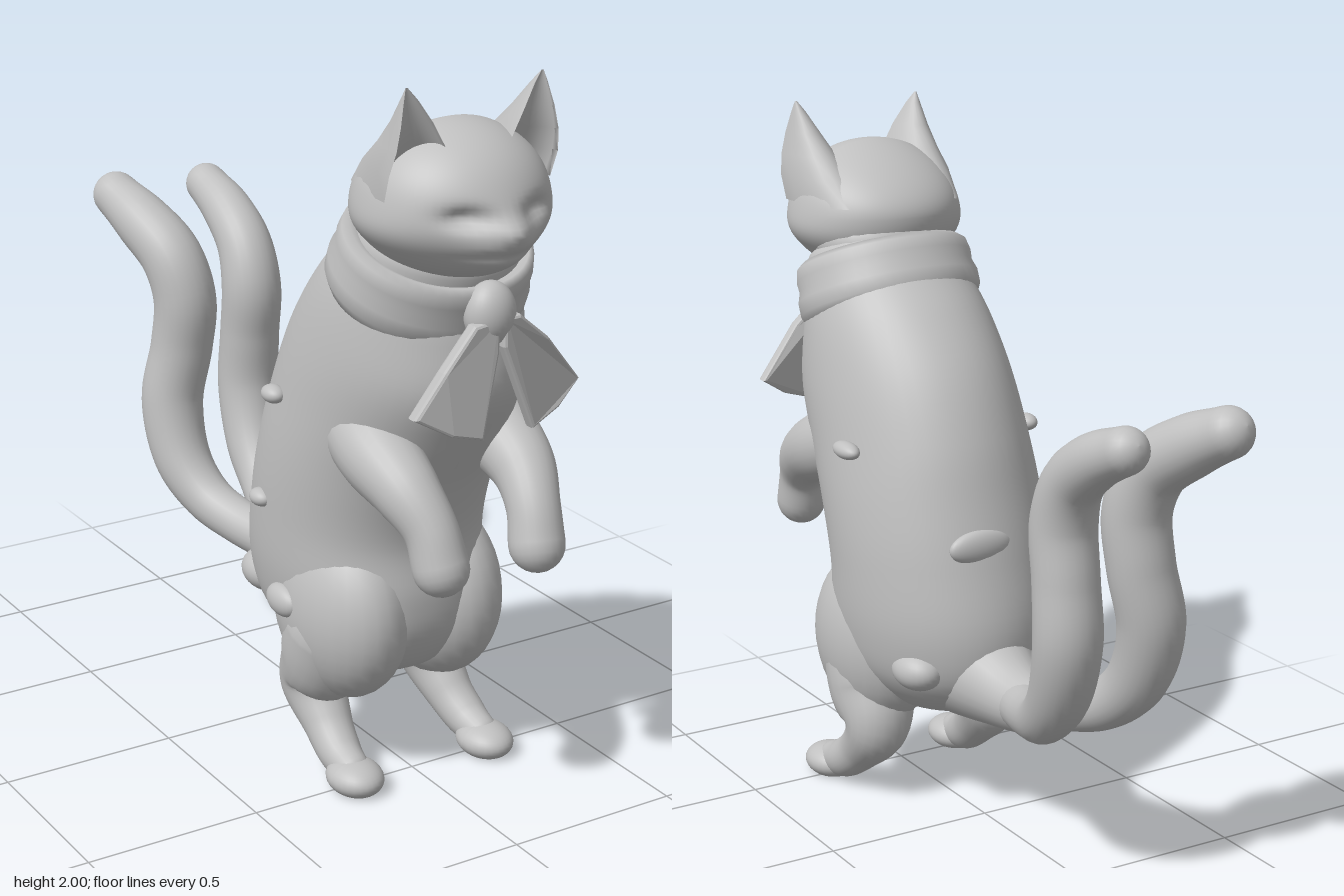
import * as THREE from 'three';
import { mergeVertices } from 'three/addons/utils/BufferGeometryUtils.js';

const V = (x, y, z) => new THREE.Vector3(x, y, z);
const clay = new THREE.MeshStandardMaterial({ color: 0xc0c0c0, side: THREE.DoubleSide });
clay.name = 'grey clay';

// Smooth closed surface through a list of rings of equal length
function skin(rings) {
  const n = rings[0].length, index = [];
  for (let i = 0; i < rings.length - 1; i++) {
    for (let j = 0; j < n; j++) {
      const a = i * n + j, b = i * n + (j + 1) % n;
      index.push(a, b, a + n, b, b + n, a + n);
    }
  }
  const g = new THREE.BufferGeometry().setFromPoints(rings.flat());
  g.setIndex(index);
  g.computeVertexNormals();
  return g;
}

// Tapering round limb through [x, y, z, radius] points, with domed ends
function limb(points, steps = 40, sides = 24) {
  const curve = new THREE.CatmullRomCurve3(points.map(p => V(p[0], p[1], p[2])));
  const radii = new THREE.SplineCurve(points.map((p, i) => new THREE.Vector2(i, p[3])));
  const frames = curve.computeFrenetFrames(steps);
  const rings = [];
  const add = (i, shift, scale) => {
    const t = curve.getUtoTmapping(i / steps);
    const r = radii.getPoint(t).y;
    const c = curve.getPoint(t).addScaledVector(frames.tangents[i], shift * r);
    rings.push(Array.from({ length: sides }, (_, j) => {
      const a = j / sides * Math.PI * 2;
      return c.clone().addScaledVector(frames.normals[i], Math.cos(a) * r * scale)
        .addScaledVector(frames.binormals[i], Math.sin(a) * r * scale);
    }));
  };
  for (let k = 6; k > 0; k--) add(0, -Math.sin(k * Math.PI / 12), Math.cos(k * Math.PI / 12));
  for (let i = 0; i <= steps; i++) add(i, 0, 1);
  for (let k = 1; k <= 6; k++) add(steps, Math.sin(k * Math.PI / 12), Math.cos(k * Math.PI / 12));
  return skin(rings);
}

function ball(x, y, z, rx, ry, rz) {
  return new THREE.SphereGeometry(1, 28, 20).scale(rx, ry, rz).translate(x, y, z);
}

// Paw with a flat sole
function foot(x) {
  const g = ball(x, 0.036, 0.52, 0.076, 0.05, 0.092);
  const p = g.attributes.position;
  for (let i = 0; i < p.count; i++) p.setY(i, Math.max(0, p.getY(i)));
  g.computeVertexNormals();
  return g;
}

// Leaning torso: front z, front y, back z, back y, half width
function torso() {
  const rows = [
    [0.40, 0.29, 0.22, 0.29, 0.01], [0.50, 0.31, 0.05, 0.31, 0.16],
    [0.58, 0.43, -0.09, 0.42, 0.265], [0.595, 0.55, -0.12, 0.57, 0.3],
    [0.585, 0.70, -0.08, 0.78, 0.31], [0.64, 0.87, -0.035, 0.95, 0.31],
    [0.73, 1.03, 0.015, 1.12, 0.30], [0.80, 1.18, 0.10, 1.30, 0.287],
    [0.79, 1.32, 0.22, 1.45, 0.265], [0.77, 1.43, 0.34, 1.56, 0.235],
    [0.78, 1.52, 0.43, 1.65, 0.21], [0.65, 1.62, 0.58, 1.66, 0.02]];
  const front = new THREE.CatmullRomCurve3(rows.map(r => V(r[4], r[1], r[0])));
  const back = new THREE.CatmullRomCurve3(rows.map(r => V(r[4], r[3], r[2])));
  const rings = [];
  for (let i = 0; i <= 66; i++) {
    const f = front.getPoint(i / 66), b = back.getPoint(i / 66);
    // The belly is squarer in front than the chest
    const square = 0.72 + 0.28 * Math.min(1, i / 45);
    rings.push(Array.from({ length: 48 }, (_, j) => {
      const a = j / 48 * Math.PI * 2, s = (1 + Math.sin(a)) / 2, c = Math.cos(a);
      const w = Math.sign(c) * Math.abs(c) ** (s < 0.5 ? square : 1);
      return V(w * f.x, f.y + (b.y - f.y) * s, f.z + (b.z - f.z) * s);
    }));
  }
  return skin(rings);
}

// Skull with muzzle, nose, cheeks and closed-eye hollows pushed into a sphere
function skull() {
  let g = new THREE.SphereGeometry(1, 72, 54);
  g.deleteAttribute('uv');
  g.deleteAttribute('normal');
  g = mergeVertices(g.scale(0.25, 0.2, 0.25));
  const p = g.attributes.position;
  const bump = (x, y, cx, cy, sx, sy) => Math.exp(-(((x - cx) / sx) ** 2) - ((y - cy) / sy) ** 2);
  for (let i = 0; i < p.count; i++) {
    const x = p.getX(i), y = p.getY(i), z = p.getZ(i), ax = Math.abs(x);
    if (z > 0) {
      const w = Math.min(1, z / 0.12);
      p.setZ(i, z + w * (0.055 * bump(x, y, 0, -0.1, 0.1, 0.1)
        + 0.022 * bump(x, y, 0, -0.035, 0.04, 0.03)
        - 0.035 * bump(ax, y, 0.1, 0.0, 0.05, 0.025)
        - 0.015 * bump(x, y, 0, -0.1, 0.09, 0.014)));
    } else if (y > 0) {
      // Crown slopes down to the nape
      p.setY(i, y * (1 + z * 1.3));
    }
    p.setX(i, x * (1 + 0.06 * bump(0, y, 0, -0.06, 1, 0.06)));
  }
  g.computeVertexNormals();
  return g.translate(0, 1.69, 0.67);
}

// Pointed ear with a hollow front
function ear(s) {
  const rows = [[0.158, 1.72, 0.75, 0.09, 0.26], [0.163, 1.79, 0.775, 0.088, 0.22],
    [0.17, 1.85, 0.79, 0.07, 0.16], [0.18, 1.91, 0.788, 0.047, 0.095],
    [0.192, 1.97, 0.777, 0.02, 0.035], [0.2, 2.0, 0.77, 0.003, 0.003]];
  return skin(rows.map(([x, y, z, rx, rz]) => Array.from({ length: 24 }, (_, j) => {
    const a = j / 24 * Math.PI * 2, d = Math.sin(a);
    return V(s * x + Math.cos(a) * rx, y, z - rz * (d > 0 ? d : -d * 0.35));
  })));
}

// Hanging ribbon end, curving back towards the sides
function ribbon(corners) {
  const g = new THREE.ExtrudeGeometry(new THREE.Shape(corners.map(c => new THREE.Vector2(...c))),
    { depth: 0.02, bevelSize: 0.008, bevelThickness: 0.01, bevelSegments: 2 });
  const p = g.attributes.position;
  for (let i = 0; i < p.count; i++) p.setZ(i, p.getZ(i) + 0.83 - 0.7 * p.getX(i) ** 2);
  g.computeVertexNormals();
  return g;
}

export function createModel() {
  const cat = new THREE.Group();
  cat.name = 'standing cat';
  const add = (name, geometry, parent = cat) => {
    const m = new THREE.Mesh(geometry, clay);
    m.name = name;
    parent.add(m);
    return m;
  };

  add('torso', torso());

  // Head, shifted slightly to its right
  const head = new THREE.Group();
  head.name = 'head';
  head.position.x = -0.022;
  cat.add(head);
  add('skull', skull(), head);
  add('nape', ball(0.01, 1.61, 0.6, 0.215, 0.12, 0.19), head);

  for (const s of [1, -1]) {
    const side = s > 0 ? 'left' : 'right';
    add(side + 'Ear', ear(s), head);
    add(side + 'Arm', limb([[s * 0.14, 1.06, 0.44, 0.12], [s * 0.18, 1.005, 0.59, 0.11],
      [s * 0.18, 0.94, 0.73, 0.088], [s * 0.16, 0.86, 0.81, 0.072], [s * 0.15, 0.765, 0.845, 0.075]]));
    // Rounded thigh, bent shank and foot, standing a little to the left
    add(side + 'Thigh', ball(s * 0.15 + 0.005, 0.475, 0.36, 0.162, 0.26, 0.245));
    add(side + 'Leg', limb([[s * 0.17, 0.42, 0.37, 0.14], [s * 0.18 + 0.005, 0.32, 0.33, 0.13],
      [s * 0.192 + 0.01, 0.225, 0.28, 0.098], [s * 0.2 + 0.012, 0.13, 0.355, 0.07],
      [s * 0.21 + 0.015, 0.07, 0.435, 0.06], [s * 0.213 + 0.015, 0.05, 0.5, 0.05]]));
    add(side + 'Foot', foot(s * 0.215 + 0.015));
    add(side + 'HipFold', ball(s * 0.195, 0.475, 0.045, 0.07, 0.06, 0.09));
  }

  // Tail: shared root splitting into two
  add('tailRoot', limb([[0, 0.46, 0.08, 0.17], [0, 0.44, -0.06, 0.135],
    [0, 0.425, -0.18, 0.1], [0, 0.425, -0.3, 0.078]]));
  add('leftTail', limb([[0.02, 0.425, -0.24, 0.07], [0.06, 0.445, -0.36, 0.068],
    [0.1, 0.49, -0.48, 0.073], [0.12, 0.59, -0.58, 0.085], [0.137, 0.76, -0.645, 0.093],
    [0.138, 0.93, -0.635, 0.09], [0.137, 1.08, -0.62, 0.09], [0.14, 1.2, -0.665, 0.083],
    [0.14, 1.285, -0.77, 0.075], [0.135, 1.34, -0.89, 0.063]], 70));
  add('rightTail', limb([[-0.02, 0.425, -0.24, 0.07], [-0.06, 0.445, -0.36, 0.068],
    [-0.1, 0.49, -0.48, 0.073], [-0.13, 0.59, -0.58, 0.085], [-0.13, 0.76, -0.64, 0.093],
    [-0.1, 0.93, -0.63, 0.093], [-0.092, 1.08, -0.62, 0.094], [-0.11, 1.2, -0.665, 0.092],
    [-0.143, 1.285, -0.78, 0.085], [-0.17, 1.345, -0.9, 0.07]], 70));

  // Folded scarf around the neck
  const band = [[0.85, -0.085], [1.0, -0.095], [1.07, -0.06], [1.07, -0.02], [1.03, 0.01],
    [1.04, 0.04], [1.01, 0.075], [0.94, 0.09], [0.8, 0.07]].map(p => new THREE.Vector2(...p));
  const scarf = add('scarf', new THREE.LatheGeometry(band, 48));
  scarf.scale.set(0.255, 1, 0.235);
  scarf.rotation.x = 0.42;
  scarf.position.set(-0.005, 1.485, 0.565);
  add('bowKnot', ball(0.008, 1.41, 0.81, 0.07, 0.085, 0.06));
  add('leftRibbon', ribbon([[0.03, 1.4], [0.03, 1.33], [0.13, 1.1], [0.22, 1.13], [0.3, 1.18],
    [0.17, 1.32], [0.07, 1.4]]));
  add('rightRibbon', ribbon([[0.0, 1.4], [-0.06, 1.39], [-0.14, 1.28], [-0.21, 1.17],
    [-0.12, 1.12], [-0.04, 1.1], [0.0, 1.32]]));

  // Small tufts standing off the flanks and back
  const tufts = [[0.3, 1.085, 0.26, 0.03, 0.025, 0.06], [-0.3, 1.085, 0.26, 0.03, 0.025, 0.04],
    [-0.305, 0.77, 0.2, 0.03, 0.025, 0.04], [-0.295, 0.5, 0.3, 0.035, 0.045, 0.07],
    [0.04, 0.84, -0.045, 0.1, 0.05, 0.03]];
  tufts.forEach(t => add('furTuft', ball(...t)));

  return cat;
}
